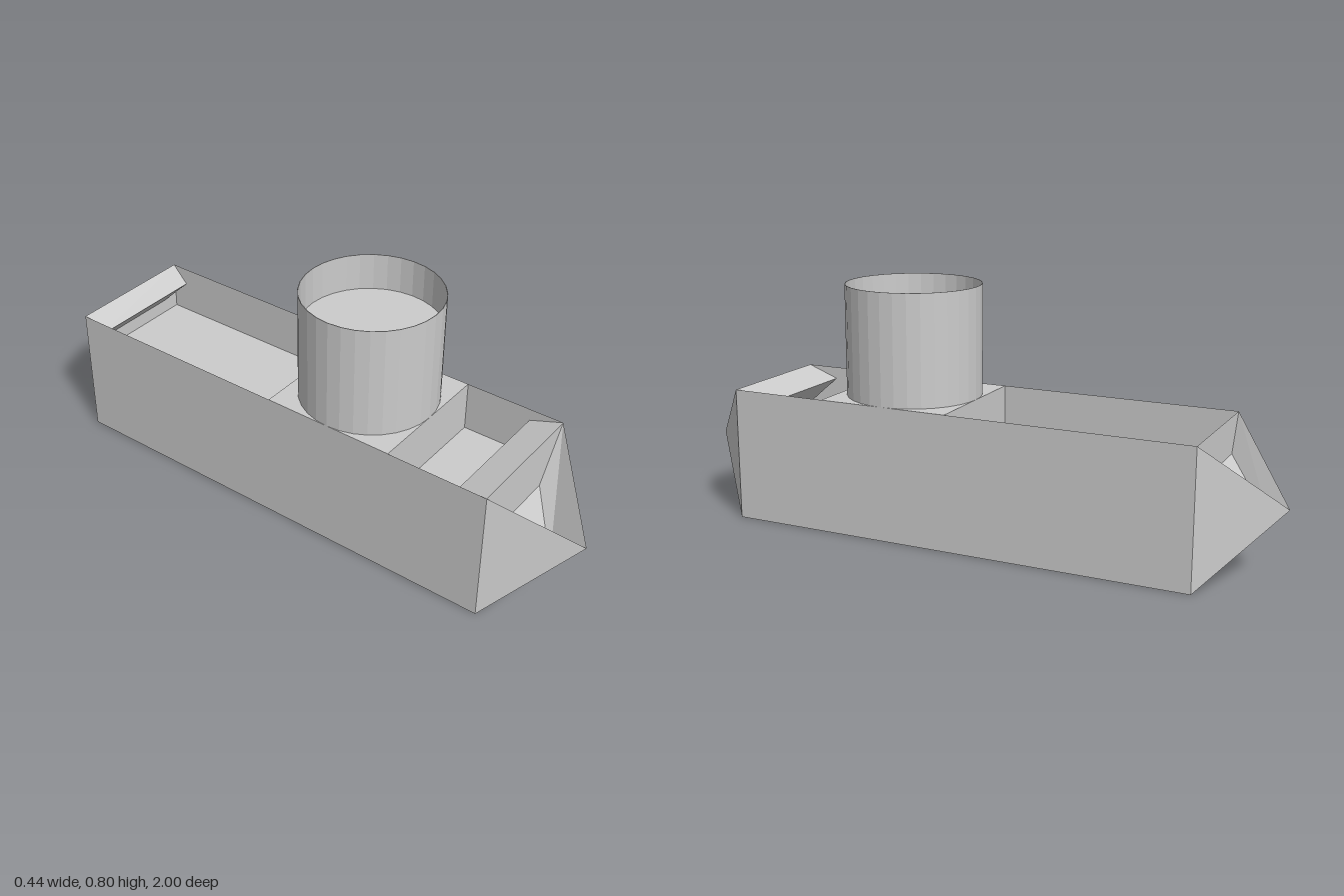
import * as THREE from 'three';

const W = 0.22, H = 0.44, L = 0.78, FLOOR = 0.273;
const material = new THREE.MeshStandardMaterial({ color: 0xcccccc, flatShading: true, side: THREE.DoubleSide });

// Thin sheet metal part made from flat convex polygons, each a list of corners
function panels(name, polygons) {
  const pos = [];
  for (const p of polygons)
    for (let i = 1; i < p.length - 1; i++) pos.push(...p[0], ...p[i], ...p[i + 1]);
  const geometry = new THREE.BufferGeometry();
  geometry.setAttribute('position', new THREE.Float32BufferAttribute(pos, 3));
  geometry.computeVertexNormals();
  const mesh = new THREE.Mesh(geometry, material);
  mesh.name = name;
  return mesh;
}

// Pointed end with a recess sunk in its upper face; s is +1 at the front, -1 at the back
function pointedEnd(name, s, inner, innerTip, lip) {
  const group = new THREE.Group();
  group.name = name;
  const pt = (x, y, z) => [x, y, s * z];
  const mirror = ([x, y, z]) => [-x, y, z];
  const order = (p) => (s > 0 ? p : p.slice().reverse());
  const topR = pt(W, H, L), topL = mirror(topR);
  const lowR = pt(W, 0, L), lowL = mirror(lowR);
  const tip = pt(0, H / 2, 1);
  const inR = pt(inner[0], inner[1], L), inL = mirror(inR);
  const inTip = pt(0, ...innerTip);
  const lipR = pt(W, ...lip), lipL = mirror(lipR);

  group.add(panels('outerFaces', [
    [lowR, topR, tip], [topL, lowL, tip], [lowL, lowR, tip],
  ].map(order)));
  group.add(panels('recess', [
    [topL, inL, inR, topR],
    [topR, inR, inTip, tip],
    [tip, inTip, inL, topL],
    [inL, inTip, inR],
  ].map(order)));
  // Sloping lip inside the hull and its undercut
  group.add(panels('innerLip', [
    [topL, topR, lipR, lipL],
    [lipL, lipR, inR, inL],
  ].map(order)));
  group.add(panels('endWall', [
    order([pt(-W, FLOOR, L), pt(-W, H, L), pt(W, H, L), pt(W, FLOOR, L)]),
  ]));
  return group;
}

export function createModel() {
  const model = new THREE.Group();

  // Open hull
  model.add(panels('hullSides', [
    [[W, 0, L], [W, 0, -L], [W, H, -L], [W, H, L]],
    [[-W, 0, -L], [-W, 0, L], [-W, H, L], [-W, H, -L]],
  ]));
  model.add(panels('hullBottom', [[[-W, 0, -L], [W, 0, -L], [W, 0, L], [-W, 0, L]]]));
  model.add(panels('hullFloor', [[[-W, FLOOR, L], [W, FLOOR, L], [W, FLOOR, -L], [-W, FLOOR, -L]]]));

  // Raised block between the two wells
  const block = new THREE.Mesh(new THREE.BoxGeometry(2 * W, H - FLOOR, 0.44), material);
  block.name = 'centreBlock';
  block.position.set(0, (H + FLOOR) / 2, 0.23);
  model.add(block);

  // Pointed ends
  model.add(pointedEnd('frontEnd', 1, [0.11, FLOOR], [0.112, 0.894], [0.4, 0.67]));
  model.add(pointedEnd('backEnd', -1, [0.16, 0.32], [0.17, 0.945], [0.38, 0.725]));

  // Round tower with a shallow sunken top
  const profile = [[W, H], [W, 0.8], [W - 0.002, 0.8], [W - 0.002, 0.68], [0, 0.68]];
  const tower = new THREE.Mesh(
    new THREE.LatheGeometry(profile.map(([x, y]) => new THREE.Vector2(x, y)), 32), material);
  tower.name = 'tower';
  tower.position.z = 0.23;
  model.add(tower);

  return model;
}
